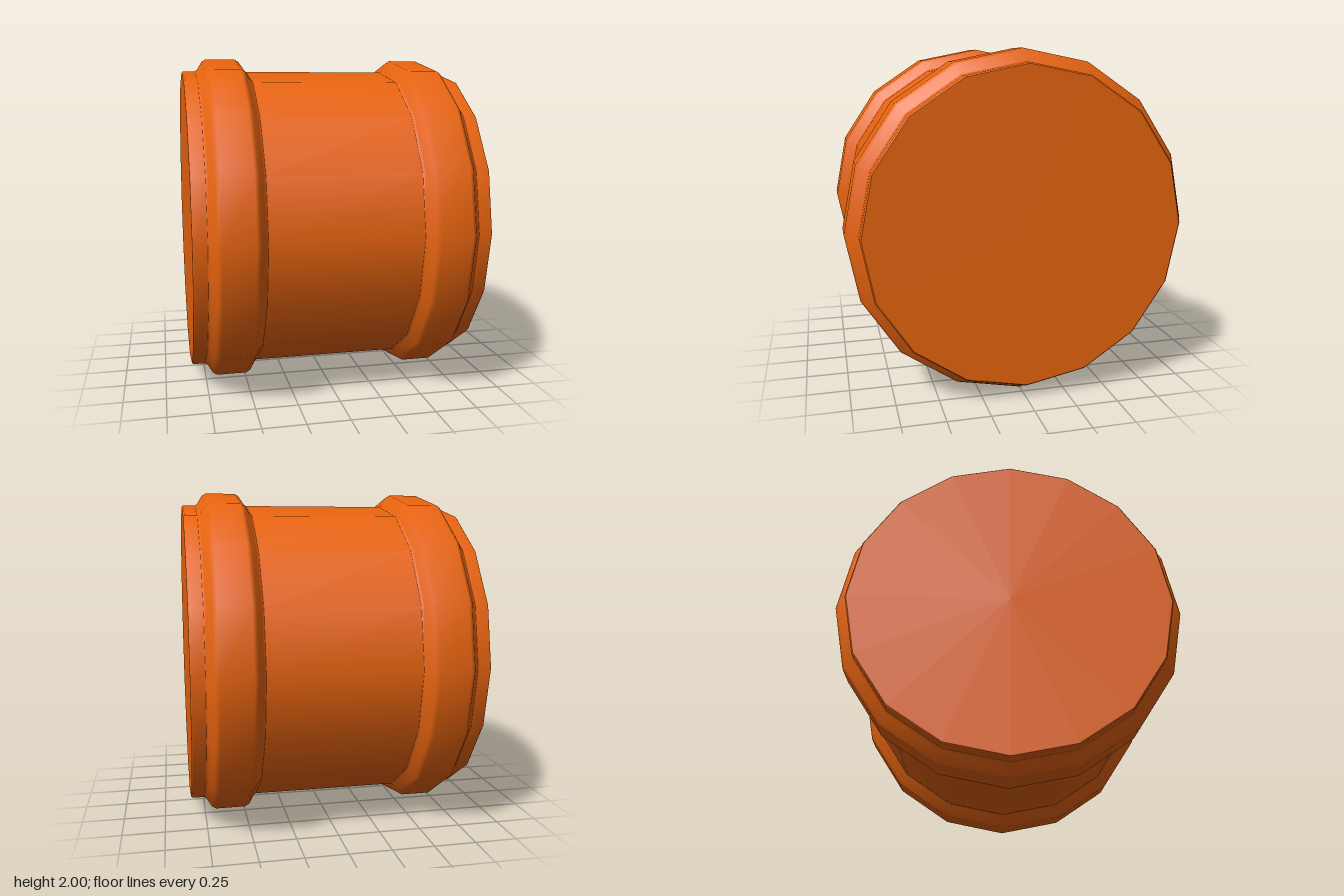
import * as THREE from 'three';

const SIDES = 16;
const BODY_R = 0.925;
const HALF = 0.84;

// Revolves [radius, x] points around the x axis
function revolve(points, material, name) {
  const geometry = new THREE.LatheGeometry(points.map(([r, x]) => new THREE.Vector2(r, x)), SIDES);
  geometry.rotateZ(-Math.PI / 2);
  const mesh = new THREE.Mesh(geometry, material);
  mesh.name = name;
  return mesh;
}

export function createModel() {
  const group = new THREE.Group();
  group.name = 'barrel';
  const orange = new THREE.MeshStandardMaterial({ color: 0xe8640f });

  // Straight drum between the two hoops
  group.add(revolve([[BODY_R, -0.45], [BODY_R, 0.45]], orange, 'drum'));

  // Raised hoop with sloped shoulders, then the short lip and its small bevel
  const hoop = [
    [BODY_R, 0.44], [0.935, 0.455], [0.985, 0.485], [1, 0.51],
    [1, 0.69], [0.985, 0.715], [0.935, 0.745], [BODY_R, 0.76],
  ];
  const lip = [[BODY_R, 0.75], [BODY_R, 0.832], [0.917, HALF]];

  for (const side of [-1, 1]) {
    const label = side > 0 ? 'left' : 'right';
    // Mirrored profiles are reversed so the surface still faces outward
    const place = (pts) => (side > 0 ? pts : pts.map(([r, x]) => [r, -x]).reverse());
    group.add(revolve(place(hoop), orange, `${label}Hoop`));
    group.add(revolve(place(lip), orange, `${label}Lip`));

    // Flat end
    const end = new THREE.Mesh(new THREE.CircleGeometry(0.917, SIDES), orange);
    end.name = `${label}End`;
    end.rotation.y = side * Math.PI / 2;
    end.position.x = side * HALF;
    group.add(end);
  }

  // Rest on the ground
  group.children.forEach((part) => { part.position.y = 1; });
  return group;
}
